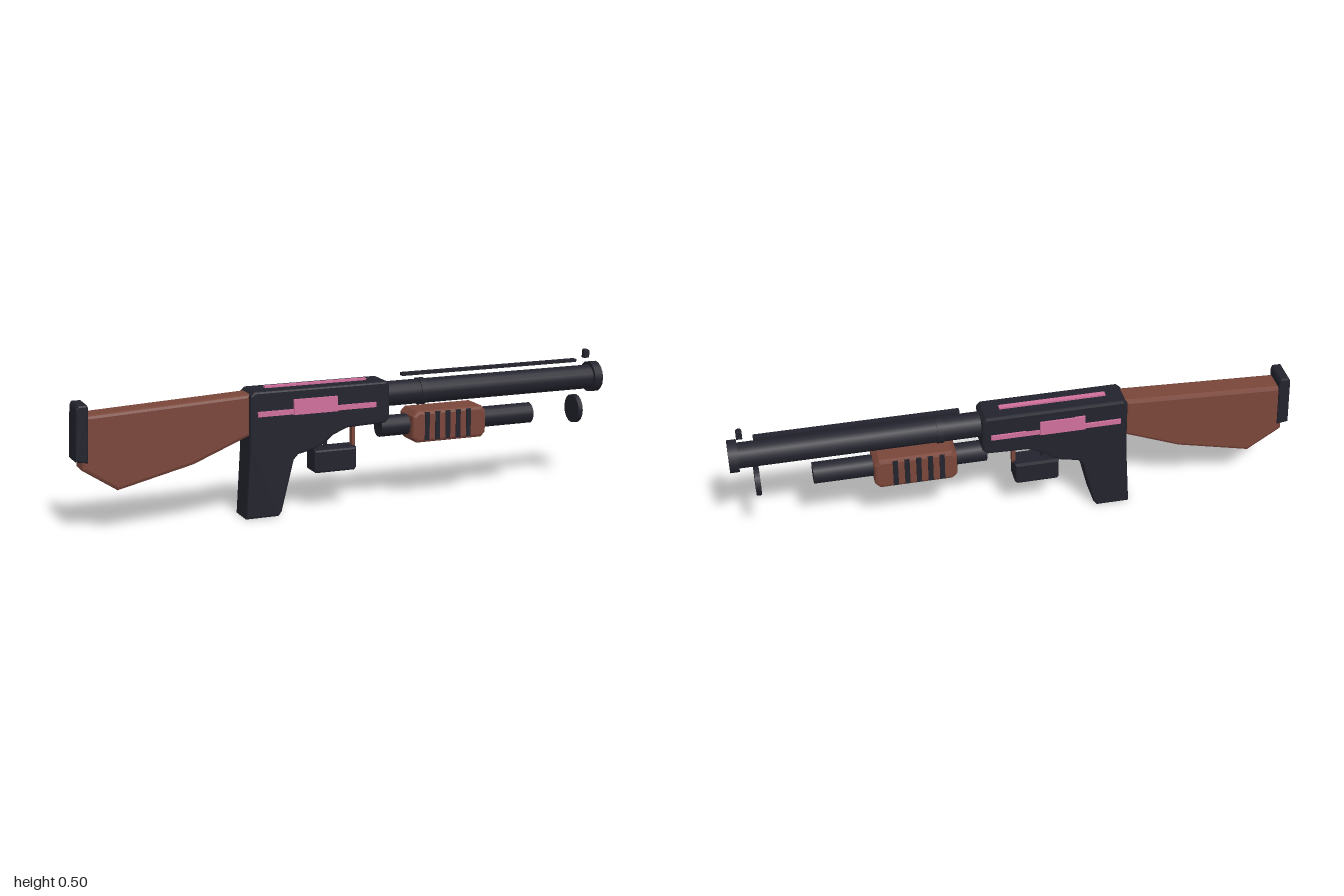
import * as THREE from 'three';

const mat = (name, color) => Object.assign(new THREE.MeshStandardMaterial({ color }), { name });

export function createModel() {
  const model = new THREE.Group();
  const metal = mat('dark metal', 0x23232e);
  const wood = mat('brown wood', 0x7a463a);
  const pink = mat('pink accent', 0xd0709c);

  const add = (name, geometry, material, x = 0, y = 0, z = 0) => {
    const mesh = new THREE.Mesh(geometry, material);
    mesh.name = name;
    mesh.position.set(x, y, z);
    model.add(mesh);
    return mesh;
  };
  // Side profile extruded across z, with bevelled edges kept inside the outline
  const slab = (name, points, halfWidth, bevel, material) => {
    const shape = new THREE.Shape(points.map(([x, y]) => new THREE.Vector2(x, y)));
    const geometry = new THREE.ExtrudeGeometry(shape, {
      depth: 2 * (halfWidth - bevel), bevelEnabled: true, bevelThickness: bevel,
      bevelSize: bevel, bevelOffset: -bevel, bevelSegments: 2,
    });
    geometry.translate(0, 0, bevel - halfWidth);
    return add(name, geometry, material);
  };
  // Box given by its side-view limits
  const block = (name, x0, x1, y0, y1, depth, material, z = 0) =>
    add(name, new THREE.BoxGeometry(x1 - x0, y1 - y0, depth), material, (x0 + x1) / 2, (y0 + y1) / 2, z);
  // Cylinder lying along x
  const rod = (name, x0, x1, y, radius, sides = 16) => {
    const geometry = new THREE.CylinderGeometry(radius, radius, x1 - x0, sides);
    geometry.rotateZ(-Math.PI / 2);
    return add(name, geometry, metal, (x0 + x1) / 2, y);
  };

  // Receiver with its grip
  slab('receiver', [
    [-0.41, 0.003], [-0.29, 0.003], [-0.278, 0.02], [-0.232, 0.2], [-0.215, 0.218],
    [-0.15, 0.232], [-0.115, 0.25], [-0.085, 0.275], [-0.03, 0.297], [0.115, 0.302],
    [0.13, 0.318], [0.13, 0.438], [0.118, 0.452], [-0.375, 0.452], [-0.39, 0.438], [-0.393, 0.25],
  ], 0.058, 0.008, metal);

  // Shoulder stock and pad
  slab('stock', [
    [-0.385, 0.297], [-0.385, 0.442], [-0.96, 0.415], [-0.978, 0.23], [-0.857, 0.15], [-0.59, 0.214],
  ], 0.045, 0.012, wood);
  slab('buttPad', [
    [-1, 0.262], [-0.958, 0.255], [-0.95, 0.44], [-0.955, 0.452], [-0.985, 0.452], [-0.992, 0.44],
  ], 0.05, 0.006, metal);

  // Barrel, collars and lower tube
  rod('barrel', 0.1, 0.98, 0.395, 0.045);
  rod('barrelCollar', 0.262, 0.285, 0.395, 0.049);
  rod('muzzleRing', 0.967, 1, 0.395, 0.057);
  rod('lowerTube', 0.11, 0.72, 0.278, 0.038);
  rod('tubeCap', 0.902, 0.92, 0.278, 0.053);

  // Top rib and front sight
  block('topRib', 0.2, 0.91, 0.456, 0.467, 0.022, metal);
  slab('frontSight', [
    [0.945, 0.468], [0.966, 0.468], [0.966, 0.495], [0.96, 0.5], [0.95, 0.5], [0.945, 0.495],
  ], 0.011, 0.002, metal);

  // Sliding grip with dark grooves
  slab('slidingGrip', [
    [0.22, 0.235], [0.238, 0.217], [0.495, 0.217], [0.512, 0.235],
    [0.512, 0.315], [0.495, 0.333], [0.238, 0.333], [0.22, 0.315],
  ], 0.061, 0.012, wood);
  for (let i = 0; i < 5; i++) {
    const x = 0.275 + i * 0.041;
    for (const side of [1, -1]) block('gripGroove', x - 0.009, x + 0.009, 0.226, 0.328, 0.006, metal, side * 0.061);
  }

  // Trigger housing, trigger and guard post
  slab('triggerHousing', [
    [-0.15, 0.145], [-0.142, 0.138], [0.002, 0.138], [0.01, 0.146], [0.01, 0.222], [-0.15, 0.222],
  ], 0.041, 0.008, metal);
  const curve = new THREE.CatmullRomCurve3([
    new THREE.Vector3(-0.1, 0.27, 0), new THREE.Vector3(-0.093, 0.242, 0), new THREE.Vector3(-0.1, 0.215, 0),
  ]);
  add('trigger', new THREE.TubeGeometry(curve, 8, 0.007, 6), metal);
  block('guardRear', -0.158, -0.14, 0.218, 0.245, 0.024, metal);
  block('guardPost', 0.004, 0.016, 0.215, 0.3, 0.024, wood);

  // Side accents, raised plates and the rear-side port
  for (const side of [1, -1]) {
    block('sideStripe', -0.365, side > 0 ? 0.075 : 0.1, 0.364, 0.382, 0.008, pink, side * 0.061);
    block('sidePlate', -0.235, -0.073, 0.362, 0.416, 0.009, pink, side * 0.0635);
  }
  block('ejectionPort', -0.2, -0.025, 0.365, 0.427, 0.006, metal, -0.059);
  block('topStripe', -0.32, 0.06, 0.451, 0.459, 0.018, pink);

  return model;
}
